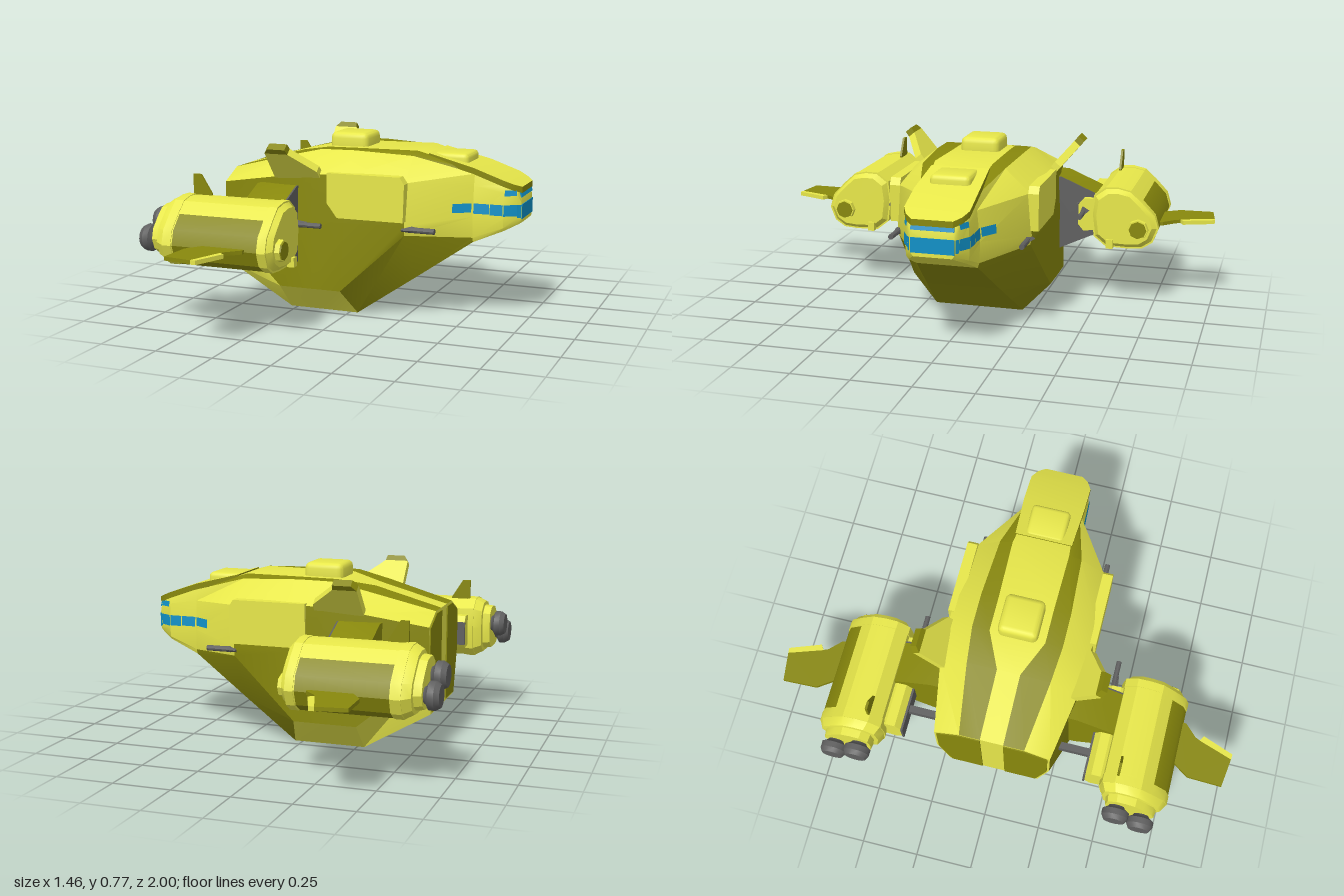
import * as THREE from 'three';
import { toCreasedNormals } from 'three/addons/utils/BufferGeometryUtils.js';
import { RoundedBoxGeometry } from 'three/addons/geometries/RoundedBoxGeometry.js';

const mat = (name, color) => Object.assign(new THREE.MeshStandardMaterial({ color }), { name });

// Skin rings of [x,y,z] points ordered along +x; pick(i, j) gives a material index per strip.
function loft(rings, pick = () => 0, cap = 0) {
  const faces = [[], []];
  const n = rings[0].length;
  const tri = (m, a, b, c) => faces[m].push(...a, ...b, ...c);
  for (let i = 0; i + 1 < rings.length; i++) {
    for (let j = 0; j < n; j++) {
      const k = (j + 1) % n, a = rings[i], b = rings[i + 1], m = pick(i, j);
      tri(m, a[j], a[k], b[j]);
      tri(m, a[k], b[k], b[j]);
    }
  }
  [rings[0], rings[rings.length - 1]].forEach((r, e) => {
    const c = [0, 1, 2].map((q) => r.reduce((s, p) => s + p[q], 0) / n);
    for (let j = 0; j < n; j++) {
      const k = (j + 1) % n;
      if (e) tri(cap, c, r[j], r[k]);
      else tri(cap, c, r[k], r[j]);
    }
  });
  const g = new THREE.BufferGeometry();
  g.setAttribute('position', new THREE.Float32BufferAttribute([...faces[0], ...faces[1]], 3));
  g.addGroup(0, faces[0].length / 3, 0);
  g.addGroup(faces[0].length / 3, faces[1].length / 3, 1);
  return g;
}

// Copy with crisp creases, optionally reflected to the other side
function finish(geo, mirror) {
  const g = geo.index ? geo.toNonIndexed() : geo.clone();
  const p = g.attributes.position;
  if (mirror) {
    for (let i = 0; i < p.count; i += 3) {
      const v = [0, 2, 1].map((k) => [p.getX(i + k), p.getY(i + k), -p.getZ(i + k)]);
      v.forEach((q, k) => p.setXYZ(i + k, ...q));
    }
  }
  return toCreasedNormals(g, 0.5);
}

function extrude(points, depth) {
  const shape = new THREE.Shape(points.map((p) => new THREE.Vector2(...p)));
  return new THREE.ExtrudeGeometry(shape, { depth, bevelEnabled: false });
}
const box = (x0, x1, y0, y1, z0, z1) => new THREE.BoxGeometry(x1 - x0, y1 - y0, z1 - z0)
  .translate((x0 + x1) / 2, (y0 + y1) / 2, (z0 + z1) / 2);
const rod = (x0, x1, y, z, r, r2 = r, n = 10) => new THREE.CylinderGeometry(r2, r, x1 - x0, n)
  .rotateZ(-Math.PI / 2).translate((x0 + x1) / 2, y, z);

// Hull stations: x, then half-section [z, y, x shift] from roof edge to keel edge
const HULL = [
  [-0.57, [[.05, .6], [.14, .6], [.25, .55], [.25, .44], [.25, .36], [.2, .17]]],
  [-0.28, [[.05, .68], [.18, .675], [.3, .6], [.31, .42], [.32, .12], [.2, 0]]],
  [-0.13, [[.12, .71], [.195, .71], [.31, .62], [.32, .42], [.32, .12], [.2, 0]]],
  [0.02, [[.12, .712], [.195, .712], [.31, .62], [.32, .42], [.318, .12, -.02], [.2, 0, .015]]],
  [0.28, [[.125, .715], [.18, .7], [.285, .6], [.295, .42], [.29, .38], [.165, .167]]],
  [0.53, [[.1, .645], [.115, .63], [.127, .58], [.14, .45], [.136, .36], [.13, .34]]],
  [0.66, [[.115, .598], [.122, .59], [.13, .56], [.133, .45], [.13, .41], [.12, .396]]],
  [0.712, [[.09, .573], [.1, .57], [.105, .55], [.1, .45], [.095, .432], [.09, .422]]],
  [0.726, [[.08, .53], [.085, .527], [.09, .515], [.09, .45], [.088, .44], [.08, .43]]],
];
function hullZ(x, y) {
  let i = 0;
  while (i < HULL.length - 2 && HULL[i + 1][0] < x) i++;
  const [[xa, a], [xb, b]] = [HULL[i], HULL[i + 1]];
  const t = (x - xa) / (xb - xa);
  const s = a.map((p, k) => [p[0] + (b[k][0] - p[0]) * t, p[1] + (b[k][1] - p[1]) * t]);
  let k = 0;
  while (k < 4 && s[k + 1][1] > y) k++;
  return s[k][0] + (s[k + 1][0] - s[k][0]) * (s[k][1] - y) / (s[k][1] - s[k + 1][1]);
}

export function createModel() {
  const yellow = mat('yellow paint', 0xe8e84a), olive = mat('olive paint', 0x88880c);
  const gray = mat('gray metal', 0x606060), blue = mat('blue glass', 0x1090c6);
  const root = new THREE.Group();
  root.name = 'dropship';
  const add = (name, geo, m) => {
    const mesh = new THREE.Mesh(finish(geo), m);
    mesh.name = name;
    root.add(mesh);
  };
  const sides = [['rightParts', false], ['leftParts', true]].map(([name, flip]) => {
    const group = new THREE.Group();
    group.name = name;
    root.add(group);
    return [group, flip];
  });
  const pair = (name, geo, m) => sides.forEach(([g, flip]) => {
    const mesh = new THREE.Mesh(finish(geo, flip), m);
    mesh.name = name;
    g.add(mesh);
  });

  // Hull with painted strips
  const rings = HULL.map(([x, pts]) => [
    ...pts.map(([z, y, dx = 0]) => [x + dx, y, z]),
    ...[...pts].reverse().map(([z, y, dx = 0]) => [x + dx, y, -z]),
  ]);
  const hullPaint = (i, j) => {
    const s = j < 6 ? j : 10 - j; // -1 roof centre, 5 keel
    if (s === 0) return i < 6 ? 1 : 0;
    if (s === 2 || s === 3) return i < 4 ? 1 : 0;
    if (s >= 4) return i === 3 || i === 4 ? 1 : 0;
    return 0;
  };
  add('hull', loft(rings, hullPaint), [yellow, olive]);
  pair('rearPanel', extrude([[.05, .18], [.19, .18], [.24, .36], [.24, .545], [.14, .59], [.05, .59]], .006)
    .rotateY(-Math.PI / 2).translate(-.569, 0, 0), olive);

  // Brow plate over the cockpit, with dark edges
  const brow = [[.33, .125, .707], [.53, .135, .657], [.66, .135, .611], [.7, .115, .594], [.727, .085, .582]]
    .map(([x, w, y]) => [[x, y, w], [x, y - .026, w], [x, y - .026, -w], [x, y, -w]]);
  add('cockpitBrow', loft(brow, (i, j) => (j === 3 ? 0 : 1), 1), [yellow, olive]);

  // Raised side panel
  pair('sidePanel', extrude([[-.055, .5], [-.01, .44], [.285, .44], [.29, .6], [.27, .63], [-.055, .63]], .045)
    .translate(0, 0, .28), yellow);

  // Rounded roof hatches
  add('roofHatch', new RoundedBoxGeometry(.175, .1, .172, 2, .025).translate(-.052, .72, 0), yellow);
  add('frontHatch', new RoundedBoxGeometry(.16, .09, .172, 2, .02).translate(.41, .66, 0), yellow);

  // Windows laid on the nose surface
  const pane = (x0, x1, y0, y1) => {
    const v = [[x0, y0], [x1, y0], [x1, y1], [x0, y1]].map(([x, y]) => [x, y, hullZ(x, y) + .005]);
    const g = new THREE.BufferGeometry();
    g.setAttribute('position', new THREE.Float32BufferAttribute(
      [v[0], v[1], v[2], v[0], v[2], v[3]].flat(), 3));
    return g;
  };
  [[.455, .525, .47], [.533, .6, .465], [.603, .658, .462], [.661, .711, .46], [.712, .726, .452]]
    .forEach(([a, b, y]) => pair('sideWindow', pane(a, b, y, .508), blue));
  pair('upperSideWindow', pane(.664, .71, .546, .57), blue);
  add('frontWindow', box(.723, .729, .446, .508, -.09, .09), blue);
  add('upperWindow', new THREE.BoxGeometry(.006, .034, .178).rotateZ(.31).translate(.72, .554, 0), blue);

  // Canted tail fins with olive tips
  const cant = (points, depth, z) => extrude(points, depth).translate(0, 0, z).rotateX(.7).translate(0, .6, .29);
  pair('tailFin', cant([[-.305, 0], [-.305, .155], [-.2, .155], [-.185, .14], [-.095, .055], [-.09, 0]],
    .034, -.02), yellow);
  pair('tailFinTip', cant([[-.305, .155], [-.285, .182], [-.205, .182], [-.2, .155]], .034, -.02), olive);

  // Hull guns
  pair('hullGun', rod(.3, .41, .405, .283, .012), gray);
  pair('hullGunMount', rod(.27, .32, .405, .285, .024, .014, 3), gray);

  // Pylon between hull and engine pod
  const slab = (x0, x1) => loft([x0, x1].map((x) => [
    [x, .565, .24], [x, .565, .32], [x, .48, .52], [x, .33, .52], [x, .235, .32], [x, .235, .24],
  ]));
  pair('pylon', slab(-.38, -.2), olive);
  pair('pylonFrontPlate', slab(-.2, -.193), gray);
  pair('braceRod', box(-.48, -.45, .4, .435, .22, .42), gray);

  // Engine pod with olive outer panel
  const section = [[.59, .545], [.645, .533], [.695, .488], [.75, .43], [.768, .37], [.745, .31], [.7, .28],
    [.64, .275], [.54, .278], [.487, .32], [.474, .42], [.485, .505], [.535, .543]];
  const podRing = (x, s) => section.map(([z, y]) => [x, .41 + (y - .41) * s, .62 + (z - .62) * s]);
  const pod = [[-.665, .72], [-.632, .75], [-.63, .87], [-.595, 1], [-.55, 1], [-.17, 1], [-.135, 1], [-.108, .84]]
    .map(([x, s]) => podRing(x, s));
  pair('enginePod', loft(pod, (i, j) => (i === 4 && j >= 2 && j <= 5 ? 1 : 0)), [yellow, olive]);
  const band = (x0, x1) => loft([podRing(x0, 1.02), podRing(x1, 1.02)]);
  pair('podRearBand', band(-.595, -.555), yellow);
  pair('podFrontBand', band(-.165, -.13), yellow);

  // Twin exhaust nozzles
  [[.565, .43], [.675, .375]].forEach(([z, y]) => {
    const profile = [[0, 0], [.03, 0], [.035, .01], [.04, .015], [.057, .025], [.057, .05], [.045, .07], [0, .07]]
      .map(([r, h]) => new THREE.Vector2(r, h));
    pair('nozzle', new THREE.LatheGeometry(profile, 14).rotateZ(Math.PI / 2).translate(-.66, y, z), gray);
  });

  // Inner weapon housing and gun
  pair('gunHousing', loft([-.57, -.165].map((x) => [
    [x, .48, .43], [x, .48, .47], [x, .46, .5], [x, .34, .5], [x, .33, .43], [x, .36, .405], [x, .45, .405],
  ])), yellow);
  pair('housingPlate', box(-.574, -.164, .35, .455, .397, .406), gray);
  pair('podGun', rod(-.17, -.035, .425, .435, .011), gray);
  pair('podGunMount', rod(-.17, -.1, .425, .435, .022, .014, 3), gray);

  // Pod nose sensors
  pair('sensorRing', rod(-.115, -.087, .37, .685, .047, .045, 8), yellow);
  pair('sensorLens', rod(-.09, -.083, .37, .685, .04, .038, 8), olive);
  pair('lowerSensor', box(-.125, -.095, .275, .315, .545, .575), yellow);

  // Thin fin on top of the pod
  pair('podTopFin', extrude([[-.565, .53], [-.48, .53], [-.48, .55], [-.53, .63], [-.565, .63]], .01)
    .translate(0, 0, .535), olive);

  // Horizontal winglet with yellow leading edge; outline is [x, z]
  const flat = (pts, h) => extrude(pts.map(([x, z]) => [x, -z]), h).rotateX(-Math.PI / 2).translate(0, .372 - h / 2, 0);
  pair('winglet', flat([[-.4, .75], [-.22, .75], [-.225, .78], [-.275, .83], [-.288, .86], [-.335, .998],
    [-.46, .98], [-.455, .83]], .016), olive);
  pair('wingletEdge', flat([[-.285, .85], [-.262, .865], [-.312, 1], [-.335, .998]], .018), yellow);

  return root;
}
